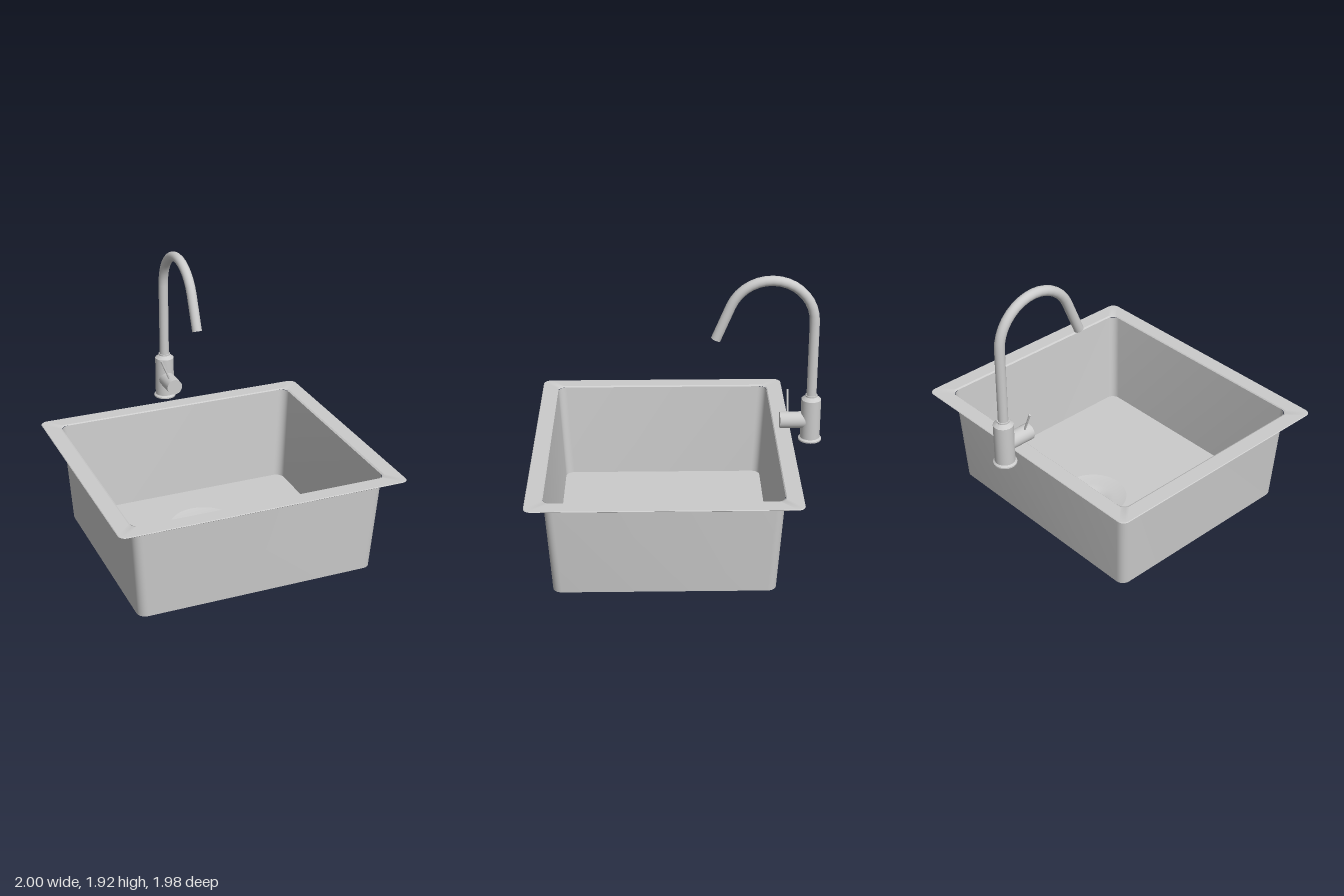
import * as THREE from 'three';
import { toCreasedNormals } from 'three/addons/utils/BufferGeometryUtils.js';

const CORNER_STEPS = 6;
const BOWL_Z = 0.1, DRAIN_Z = -0.14, TAP_Z = -0.912;
const FLOOR_Y = 0.03;
const FLOOR = { hx: 0.837, hz: 0.737, r: 0.06 };

// Points of a rounded rectangle, in order of rising angle
function roundedRect(hx, hz, r) {
  const pts = [];
  [[1, 1], [-1, 1], [-1, -1], [1, -1]].forEach(([sx, sz], k) => {
    for (let i = 0; i <= CORNER_STEPS; i++) {
      const a = (k + i / CORNER_STEPS) * Math.PI / 2;
      pts.push(new THREE.Vector2(sx * (hx - r) + r * Math.cos(a), sz * (hz - r) + r * Math.sin(a)));
    }
  });
  return pts;
}

// Skin through rounded-rectangle rings [halfX, halfZ, cornerRadius, y]
function skinRings(rings) {
  const pos = [], index = [];
  for (const [hx, hz, r, y] of rings) {
    for (const p of roundedRect(hx, hz, r)) pos.push(p.x, y, p.y);
  }
  const n = 4 * (CORNER_STEPS + 1);
  for (let k = 0; k < rings.length - 1; k++) {
    for (let i = 0; i < n; i++) {
      const a = k * n + i, a2 = k * n + (i + 1) % n;
      index.push(a, a + n, a2, a2, a + n, a2 + n);
    }
  }
  const g = new THREE.BufferGeometry();
  g.setAttribute('position', new THREE.Float32BufferAttribute(pos, 3));
  g.setIndex(index);
  return toCreasedNormals(g, 0.5);
}

function lathe(profile, segments = 32) {
  const g = new THREE.LatheGeometry(profile.map(([r, y]) => new THREE.Vector2(r, y)), segments);
  return toCreasedNormals(g, 0.5);
}

// Bent pipe: straight riser, arc over the top, straight outlet
class SpoutCurve extends THREE.Curve {
  constructor() {
    super();
    this.points = [new THREE.Vector3(0, 1.04, TAP_Z), new THREE.Vector3(0, 1.3, TAP_Z)];
    const cz = -0.62, cy = 1.595, r = cz - TAP_Z, end = 23 * Math.PI / 180;
    const steps = 16;
    for (let i = 0; i <= steps; i++) {
      const a = Math.PI + (end - Math.PI) * i / steps;
      this.points.push(new THREE.Vector3(0, cy + r * Math.sin(a), cz + r * Math.cos(a)));
    }
    this.points.push(new THREE.Vector3(0, 1.475, -0.254));
  }
  getPoint(t, target = new THREE.Vector3()) {
    const f = t * (this.points.length - 1);
    const i = Math.min(Math.floor(f), this.points.length - 2);
    return target.lerpVectors(this.points[i], this.points[i + 1], f - i);
  }
  getPointAt(t, target) { return this.getPoint(t, target); }
  getTangentAt(t, target = new THREE.Vector3()) {
    const last = this.points.length - 1, i = Math.round(t * last);
    const p = this.points;
    return target.subVectors(p[Math.min(i + 1, last)], p[i]).normalize()
      .add(p[i].clone().sub(p[Math.max(i - 1, 0)]).normalize()).normalize();
  }
}

export function createModel() {
  const model = new THREE.Group();
  model.name = 'kitchenSink';
  const metal = new THREE.MeshStandardMaterial({ color: 0xcccccc });
  const sheet = new THREE.MeshStandardMaterial({ color: 0xcccccc, side: THREE.DoubleSide });

  const add = (parent, name, geometry, material = metal) => {
    const mesh = new THREE.Mesh(geometry, material);
    mesh.name = name;
    parent.add(mesh);
    return mesh;
  };

  // Basin: flat rim, tapered walls, floor with a drain hole
  const basin = new THREE.Group();
  basin.name = 'basin';
  basin.position.z = BOWL_Z;
  model.add(basin);

  add(basin, 'rim', skinRings([
    [0.88, 0.775, 0.05, 0.724],
    [0.997, 0.887, 0.05, 0.724],
    [1, 0.89, 0.05, 0.727],
    [0.996, 0.886, 0.05, 0.731],
    [0.892, 0.782, 0.05, 0.731],
    [0.88, 0.775, 0.05, 0.724],
  ]), sheet);
  add(basin, 'walls', skinRings([
    [0.88, 0.775, 0.06, 0.724],
    [FLOOR.hx, FLOOR.hz, FLOOR.r, FLOOR_Y],
  ]), sheet);

  const floorShape = new THREE.Shape(roundedRect(FLOOR.hx, FLOOR.hz, FLOOR.r));
  const hole = new THREE.Path();
  hole.absarc(0, BOWL_Z - DRAIN_Z, 0.24, 0, Math.PI * 2, true);
  floorShape.holes.push(hole);
  const floorGeo = new THREE.ShapeGeometry(floorShape, 24);
  floorGeo.rotateX(-Math.PI / 2);
  add(basin, 'floor', floorGeo, sheet).position.y = FLOOR_Y;

  // Stepped drain dish
  const drain = add(model, 'drain', lathe([
    [0, 0.004], [0.06, 0.004], [0.075, 0], [0.11, 0.012], [0.145, 0.018], [0.185, 0.02], [0.24, FLOOR_Y],
  ], 48), sheet);
  drain.position.z = DRAIN_Z;

  // Tap
  const tap = new THREE.Group();
  tap.name = 'tap';
  model.add(tap);

  add(tap, 'tapBody', lathe([
    [0, 0.726], [0.08, 0.726], [0.08, 0.736], [0.068, 0.746],
    [0.068, 1.03], [0.042, 1.052], [0.042, 1.062], [0, 1.062],
  ])).position.z = TAP_Z;

  const spout = new SpoutCurve();
  add(tap, 'spout', new THREE.TubeGeometry(spout, spout.points.length - 1, 0.034, 20, false));
  const cap = add(tap, 'spoutOutlet', new THREE.CircleGeometry(0.034, 20));
  cap.position.copy(spout.getPoint(1));
  cap.quaternion.setFromUnitVectors(new THREE.Vector3(0, 0, 1), spout.getTangentAt(1));

  // Mixer valve pointing forward, with its thin lever
  const valve = add(tap, 'valve', new THREE.CylinderGeometry(0.057, 0.057, 0.19, 32));
  valve.rotation.x = Math.PI / 2;
  valve.position.set(0, 0.873, -0.795);

  const from = new THREE.Vector3(-0.018, 0.915, -0.755), to = new THREE.Vector3(-0.08, 1.068, -0.755);
  const lever = add(tap, 'lever', new THREE.CylinderGeometry(0.007, 0.007, from.distanceTo(to), 12));
  lever.position.lerpVectors(from, to, 0.5);
  lever.quaternion.setFromUnitVectors(new THREE.Vector3(0, 1, 0), to.clone().sub(from).normalize());

  return model;
}
